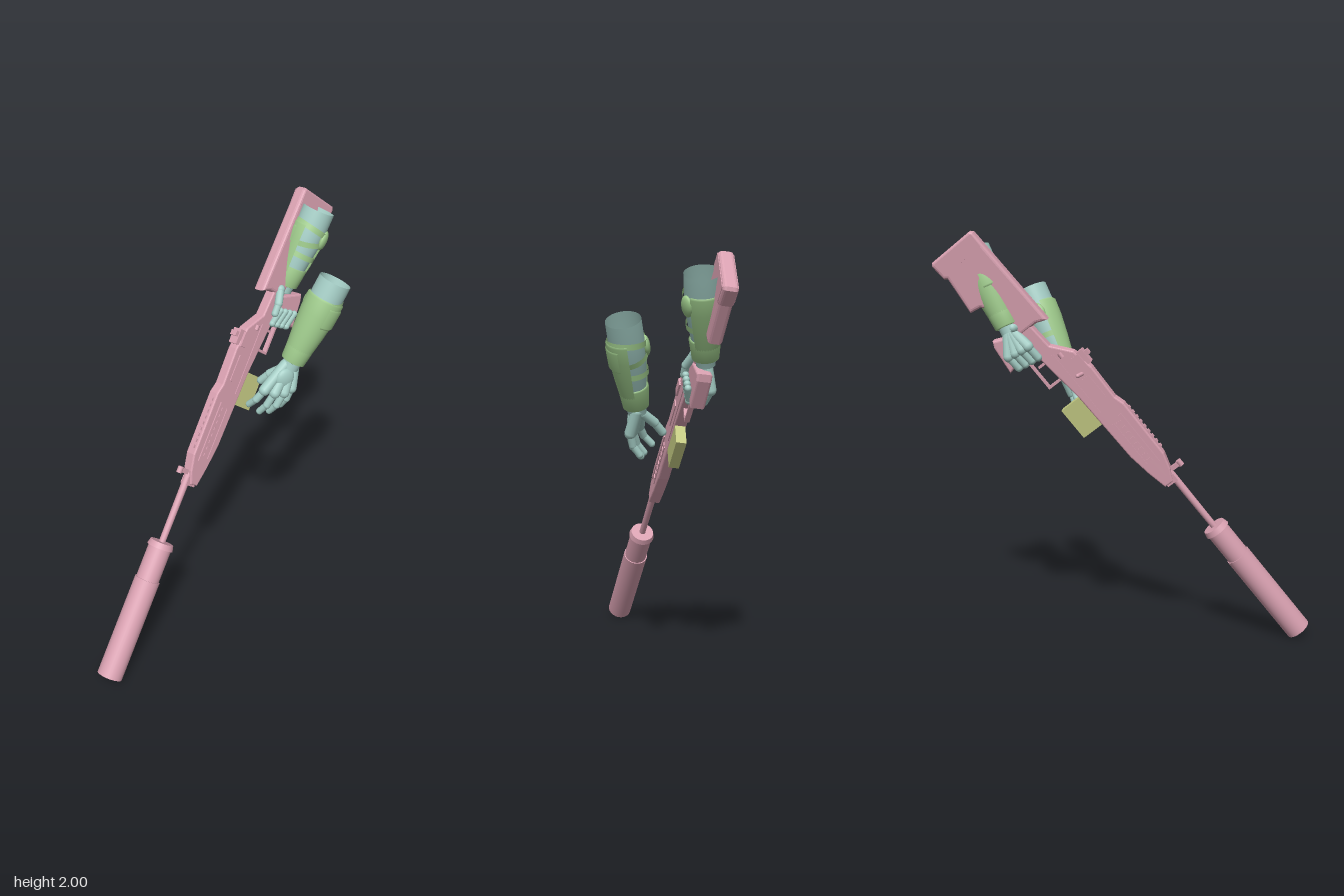
import * as THREE from 'three';

const V = (x, y, z) => new THREE.Vector3(x, y, z);
const mat = (name, color, side = THREE.FrontSide) => {
  const m = new THREE.MeshStandardMaterial({ color, side });
  m.name = name;
  return m;
};

export function createModel() {
  const pink = mat('rifle pink', 0xd8a0b0);
  const teal = mat('sleeve teal', 0xa5cec6, THREE.DoubleSide);
  const green = mat('bracer green', 0x9fcb8c, THREE.DoubleSide);
  const olive = mat('magazine olive', 0xc3c982);

  const model = new THREE.Group();
  model.name = 'rifleWithArms';

  const add = (parent, name, geo, material, x = 0, y = 0, z = 0) => {
    const m = new THREE.Mesh(geo, material);
    m.name = name;
    m.position.set(x, y, z);
    parent.add(m);
    return m;
  };

  // capsule between two points
  const limb = (parent, name, a, b, r, material) => {
    const d = b.clone().sub(a);
    const m = add(parent, name, new THREE.CapsuleGeometry(r, d.length(), 5, 12), material);
    m.position.copy(a).add(b).multiplyScalar(0.5);
    m.quaternion.setFromUnitVectors(V(0, 1, 0), d.normalize());
    return m;
  };
  const finger = (parent, name, pts, r) => {
    for (let i = 0; i < pts.length - 1; i++)
      limb(parent, name, V(...pts[i]), V(...pts[i + 1]), r * (1 - 0.1 * i), teal);
  };

  // ---- Rifle: local x runs muzzle to butt, y up, z to its side ----
  const gun = new THREE.Group();
  gun.name = 'rifle';
  const F = V(0.554, 0.781, -0.289).normalize();
  const S = F.clone().cross(V(-0.775, 0.61, 0.165)).normalize();
  const U = S.clone().cross(F);
  gun.quaternion.setFromRotationMatrix(new THREE.Matrix4().makeBasis(F, U, S));
  gun.position.set(-0.77, 0.045, 0.35);
  model.add(gun);

  const rod = (name, s0, s1, r0, r1 = r0, y = 0, z = 0, seg = 32) => {
    const g = new THREE.CylinderGeometry(r1, r0, s1 - s0, seg).rotateZ(-Math.PI / 2);
    return add(gun, name, g, pink, (s0 + s1) / 2, y, z);
  };
  const box = (name, s0, s1, u0, u1, w0, w1, material = pink) =>
    add(gun, name, new THREE.BoxGeometry(s1 - s0, u1 - u0, w1 - w0), material,
      (s0 + s1) / 2, (u0 + u1) / 2, (w0 + w1) / 2);
  const plate = (name, pts, half, bevel) => {
    const shape = new THREE.Shape(pts.map(p => new THREE.Vector2(...p)));
    const g = new THREE.ExtrudeGeometry(shape, {
      depth: 2 * (half - bevel), bevelThickness: bevel, bevelSize: bevel,
      bevelOffset: -bevel, bevelSegments: 3,
    }).translate(0, 0, bevel - half);
    return add(gun, name, g, pink);
  };

  rod('suppressorBody', 0, 0.5, 0.062);
  rod('suppressorNeck', 0.5, 0.668, 0.057);
  rod('suppressorCollar', 0.665, 0.693, 0.065, 0.058);
  rod('barrel', 0.69, 1.05, 0.016, 0.018, 0, 0, 16);

  plate('receiver', [[1.0, -0.06], [1.0, -0.012], [1.06, 0.018], [1.14, 0.042], [1.45, 0.045],
    [1.5, 0.03], [1.68, 0.035], [1.79, 0.015], [1.88, -0.06], [2.03, -0.07], [2.03, -0.14],
    [1.88, -0.14], [1.6, -0.11], [1.22, -0.1], [1.1, -0.082]], 0.028, 0.008);
  plate('stock', [[1.98, 0.014], [2.5, 0.0], [2.513, -0.012], [2.513, -0.245], [2.5, -0.256],
    [2.42, -0.25], [2.41, -0.235], [2.225, -0.256], [2.215, -0.2], [2.16, -0.15],
    [2.0, -0.14], [2.0, -0.04]], 0.033, 0.016);
  box('buttPad', 2.43, 2.5, -0.235, -0.01, -0.035, 0.035);
  plate('pistolGrip', [[1.87, -0.12], [2.0, -0.12], [2.06, -0.26], [2.03, -0.275],
    [1.89, -0.292], [1.9, -0.25]], 0.034, 0.01);
  box('magazine', 1.431, 1.6, -0.218, -0.09, -0.024, 0.024, olive);

  // trigger guard and trigger
  box('triggerGuard', 1.72, 1.9, -0.2, -0.19, -0.012, 0.012);
  box('triggerGuardFront', 1.715, 1.727, -0.2, -0.11, -0.012, 0.012);
  box('trigger', 1.82, 1.832, -0.175, -0.12, -0.006, 0.006);

  // sights and top rail
  box('frontSight', 1.04, 1.062, 0, 0.073, -0.009, 0.009);
  rod('frontSightHood', 1.035, 1.067, 0.014, 0.014, 0.068, 0, 12);
  box('rearSight', 1.7, 1.775, 0.015, 0.05, -0.024, 0.024);
  box('rearSightLeaf', 1.735, 1.76, 0.04, 0.068, -0.018, 0.018);
  for (let i = 0; i < 9; i++) box('railTooth', 1.17 + i * 0.03, 1.185 + i * 0.03, 0.04, 0.052, -0.014, 0.014);
  box('gasBlock', 0.99, 1.03, -0.05, 0.01, -0.02, 0.02);

  // raised details on both sides of the receiver
  for (const k of [-1, 1]) {
    const side = (name, s0, s1, u0, u1, t) =>
      box(name, s0, s1, u0, u1, Math.min(0, k * t), Math.max(0, k * t));
    side('handguardRib', 1.12, 1.42, -0.012, 0.004, 0.034);
    side('handguardLowerRib', 1.14, 1.4, -0.064, -0.054, 0.032);
    for (let i = 0; i < 8; i++) side('ventRib', 1.15 + i * 0.033, 1.165 + i * 0.033, -0.046, -0.02, 0.032);
    side('ejectionCover', 1.53, 1.66, -0.045, 0.0, 0.033);
    side('receiverPanel', 1.48, 1.84, -0.095, -0.07, 0.032);
    side('rearLug', 1.7, 1.77, -0.02, 0.025, 0.037);
    rod('receiverPin', 1.8, 1.825, 0.012, 0.012, -0.045, k * 0.026, 10);
  }
  limb(gun, 'boltHandle', V(1.68, -0.02, -0.02), V(1.69, -0.035, -0.06), 0.01, pink);

  // ---- Forearms: local y points to the cuff, local z to the bracer's closed side ----
  const arm = (name, cuff, wrist, facing) => {
    const g = new THREE.Group();
    g.name = name;
    const y = cuff.clone().sub(wrist);
    const L = y.length();
    y.normalize();
    const x = y.clone().cross(facing).normalize();
    g.quaternion.setFromRotationMatrix(new THREE.Matrix4().makeBasis(x, y, x.clone().cross(y)));
    g.position.copy(wrist);
    model.add(g);
    const lathe = (n, pts, material, span = 2 * Math.PI, mid = 0) =>
      add(g, n, new THREE.LatheGeometry(pts.map(([r, t]) => new THREE.Vector2(r, t * L)), 36,
        mid - span / 2, span), material);

    lathe('sleeve', [[0.042, -0.08], [0.046, 0.06], [0.06, 0.25], [0.075, 0.55], [0.079, 0.75], [0.078, 1]], teal);
    lathe('bracerShell', [[0.061, 0.13], [0.064, 0.14], [0.077, 0.36], [0.088, 0.6], [0.09, 0.78], [0.083, 0.8]],
      green, 4.3);
    lathe('wristGuard', [[0.046, 0], [0.059, 0.01], [0.069, 0.24], [0.06, 0.25]], green);
    lathe('bracerRidge', [[0.085, 0.5], [0.092, 0.52], [0.094, 0.72], [0.088, 0.74]], green, 1.5, 0.9);
    // straps closing the open side
    [[0.42, 0.078, 0.08], [0.6, 0.084, -0.2], [0.76, 0.086, 0.22]].forEach(([t, r, tilt]) => {
      const s = add(g, 'strap', new THREE.CylinderGeometry(r, r, 0.026, 32, 1, true), green, 0, t * L, 0);
      s.rotation.z = tilt;
    });
    // buckle pad on the open side
    const pad = add(g, 'bucklePad', new THREE.SphereGeometry(0.04, 16, 10), green, -0.05, 0.68 * L, -0.064);
    pad.scale.set(0.9, 1.2, 0.45);
    pad.rotation.y = 0.65;
    return g;
  };
  arm('leftForearm', V(0.56, 1.72, 0.064), V(0.362, 1.335, 0.045), V(-0.4, 0, 0.9));
  arm('rightForearm', V(0.672, 1.915, -0.285), V(0.5, 1.56, -0.28), V(-0.05, 0, -1));

  // ---- Left hand, reaching down beside the magazine ----
  const leftHand = new THREE.Group();
  leftHand.name = 'leftHand';
  model.add(leftHand);
  [
    [[0.205, 1.225, 0.06], [0.17, 1.175, 0.045], [0.152, 1.135, 0.01]],
    [[0.25, 1.208, 0.08], [0.215, 1.145, 0.07], [0.193, 1.1, 0.04]],
    [[0.297, 1.2, 0.085], [0.263, 1.135, 0.078], [0.243, 1.09, 0.045]],
    [[0.342, 1.208, 0.075], [0.322, 1.15, 0.068], [0.306, 1.105, 0.04]],
  ].forEach((pts, i) => {
    limb(leftHand, 'palm', V(0.325 + i * 0.016, 1.325 - i * 0.006, 0.042), V(...pts[0]), 0.027, teal);
    finger(leftHand, 'finger', pts, 0.0185);
  });
  const knuckles = add(leftHand, 'handBackPlate', new THREE.SphereGeometry(0.05, 20, 12), teal, 0.308, 1.265, 0.07);
  knuckles.scale.set(1, 1.1, 0.5);
  finger(leftHand, 'thumb', [[0.325, 1.295, 0.02], [0.28, 1.25, -0.025], [0.25, 1.205, -0.055]], 0.022);

  // ---- Right hand, closed around the pistol grip (rifle coordinates) ----
  const rightHand = new THREE.Group();
  rightHand.name = 'rightHand';
  gun.add(rightHand);
  const wristIn = gun.worldToLocal(V(0.5, 1.56, -0.28));
  for (let i = 0; i < 4; i++) {
    const u = -0.135 - i * 0.035;
    const s = 1.9 + i * 0.006;
    limb(rightHand, 'palm', wristIn, V(s + 0.04, u, -0.048), 0.026, teal);
    finger(rightHand, 'finger', [[s + 0.04, u, -0.048], [s - 0.03, u, -0.035], [s - 0.035, u, 0.03], [s + 0.035, u, 0.05]], 0.0195);
  }
  finger(rightHand, 'thumb', [[2.05, -0.14, -0.03], [2.03, -0.1, 0.03], [1.96, -0.1, 0.052], [1.91, -0.105, 0.05]], 0.022);

  return model;
}
